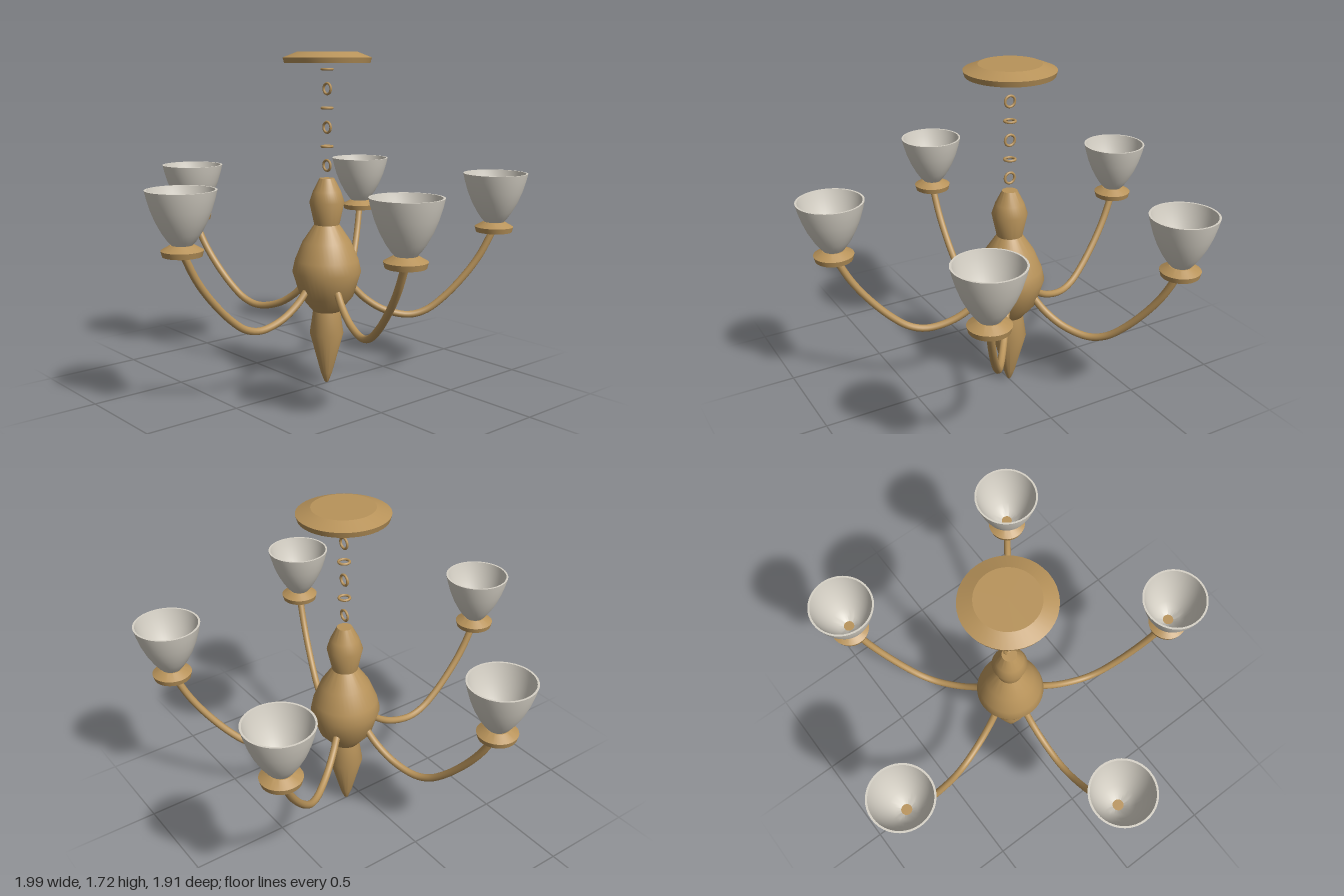
import * as THREE from 'three';
import { toCreasedNormals } from 'three/addons/utils/BufferGeometryUtils.js';

const ARM_COUNT = 5;
const ARM_REACH = 0.872;

export function createModel() {
  const brass = new THREE.MeshStandardMaterial({ color: 0xb8935a });
  brass.name = 'brass';
  const glass = new THREE.MeshStandardMaterial({ color: 0xd6d1c6 });
  glass.name = 'frosted glass';

  const model = new THREE.Group();
  model.name = 'chandelier';
  // The central axis sits slightly behind the middle of the footprint
  const fixture = new THREE.Group();
  fixture.name = 'fixture';
  fixture.position.z = -0.084;
  model.add(fixture);

  const add = (parent, name, geometry, material) => {
    const mesh = new THREE.Mesh(geometry, material);
    mesh.name = name;
    parent.add(mesh);
    return mesh;
  };
  // Turned part from [radius, height] pairs, listed bottom to top
  const turned = (profile, crease = 0.6) => toCreasedNormals(
    new THREE.LatheGeometry(profile.map(([r, y]) => new THREE.Vector2(r, y)), 40), crease);

  // Central column: finial, bulb and neck
  add(fixture, 'lowerFinial', turned([
    [0, 0], [0.012, 0.012], [0.03, 0.06], [0.088, 0.275], [0.07, 0.4]]), brass);
  add(fixture, 'bulb', turned([
    [0, 0.395], [0.072, 0.395], [0.138, 0.475], [0.178, 0.605],
    [0.165, 0.665], [0.125, 0.76], [0.064, 0.85], [0, 0.85]]), brass);
  add(fixture, 'neck', turned([
    [0.064, 0.845], [0.09, 0.965], [0.072, 1.02], [0.038, 1.087], [0, 1.087]]), brass);

  // Chain of links, alternately upright and lying flat
  const linkGeometry = new THREE.TorusGeometry(0.027, 0.0065, 8, 24);
  for (let i = 0; i < 6; i++) {
    const link = add(fixture, 'chainLink', linkGeometry, brass);
    link.position.y = 1.152 + i * 0.0965;
    if (i % 2) link.rotation.x = Math.PI / 2;
  }

  // Ceiling canopy
  add(fixture, 'canopy', turned([
    [0, 1.665], [0.215, 1.665], [0.223, 1.692], [0.152, 1.72], [0, 1.72]], 0.3), brass);

  // Shared arm parts, drawn reaching towards +z
  const armPath = new THREE.CatmullRomCurve3([
    [0.13, 0.525], [0.2, 0.455], [0.3, 0.393], [0.43, 0.363], [0.52, 0.385],
    [0.61, 0.45], [0.72, 0.565], [0.8, 0.675], [ARM_REACH, 0.815],
  ].map(([z, y]) => new THREE.Vector3(0, y, z)));
  const armGeometry = new THREE.TubeGeometry(armPath, 40, 0.0185, 12);
  const holderGeometry = turned([
    [0, 0.8], [0.092, 0.8], [0.099, 0.827], [0.055, 0.852], [0, 0.852]], 0.3);
  // Hollow shade: outer wall upwards, rim, inner wall downwards
  const shadeGeometry = turned([
    [0.045, 0.846], [0.066, 0.87], [0.09, 0.905], [0.118, 0.957], [0.14, 1.012],
    [0.157, 1.07], [0.165, 1.105], [0.155, 1.105], [0.147, 1.07], [0.13, 1.015],
    [0.108, 0.962], [0.08, 0.91], [0.055, 0.878], [0.027, 0.855]]);

  for (let i = 0; i < ARM_COUNT; i++) {
    const branch = new THREE.Group();
    branch.name = 'branch';
    branch.rotation.y = (i * 2 * Math.PI) / ARM_COUNT;
    fixture.add(branch);
    add(branch, 'arm', armGeometry, brass);
    add(branch, 'shadeHolder', holderGeometry, brass).position.z = ARM_REACH;
    add(branch, 'shade', shadeGeometry, glass).position.z = ARM_REACH;
  }
  return model;
}
